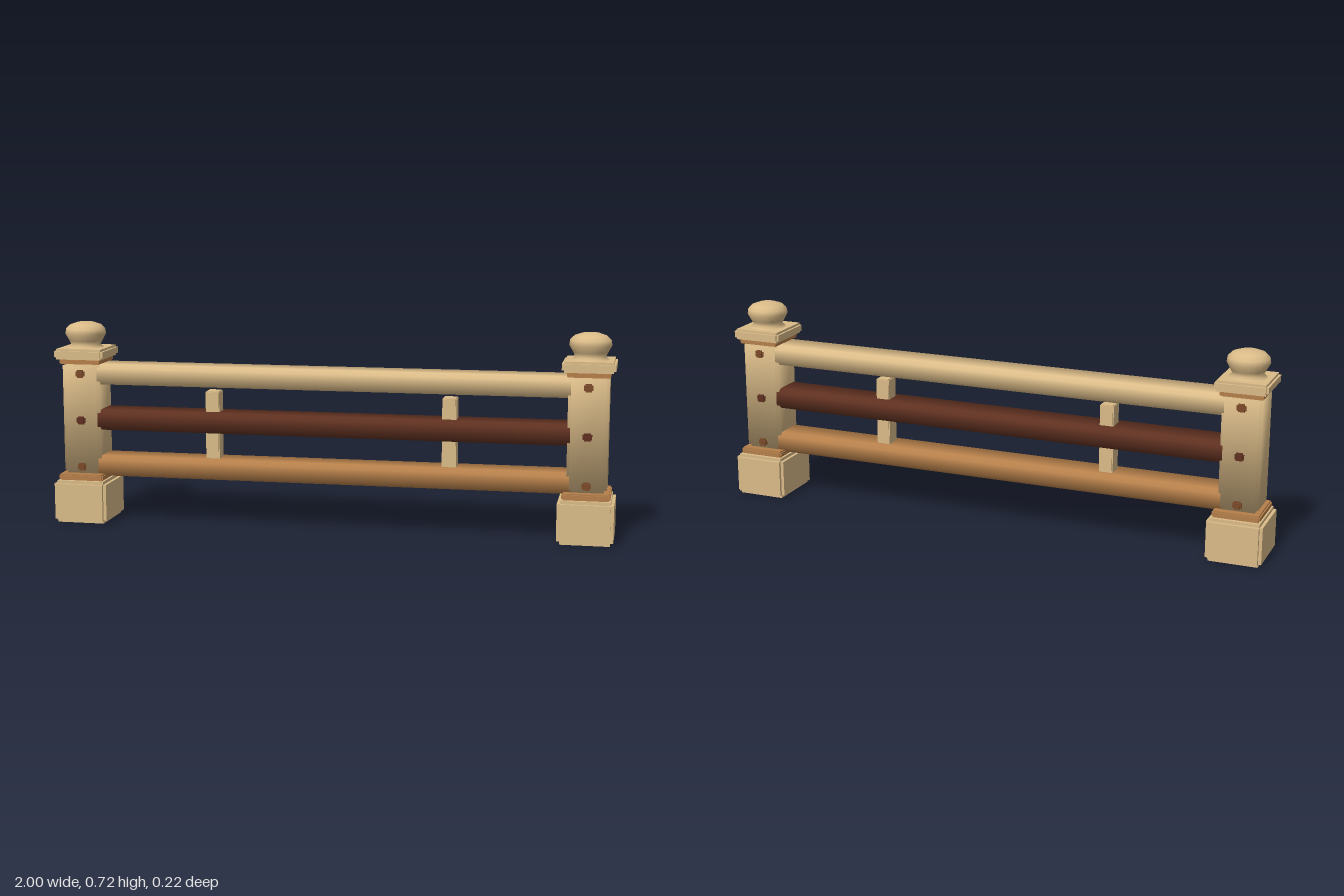
import * as THREE from 'three';
import { mergeGeometries } from 'three/addons/utils/BufferGeometryUtils.js';

const material = (name, color) => {
  const m = new THREE.MeshStandardMaterial({ color });
  m.name = name;
  return m;
};

// Replace normals with ones pointing out from the centre, for a soft worn look
function soften(geometry, wx, wy, wz) {
  const p = geometry.attributes.position, n = geometry.attributes.normal;
  const v = new THREE.Vector3();
  for (let i = 0; i < p.count; i++) {
    v.set(p.getX(i) * wx, p.getY(i) * wy, p.getZ(i) * wz).normalize();
    n.setXYZ(i, v.x, v.y, v.z);
  }
  return geometry;
}

// Block with rebated edges: each pair of faces stands out by b
function rebatedBlock(hx, hy, hz, b) {
  const box = (x, y, z) => new THREE.BoxGeometry(2 * x, 2 * y, 2 * z);
  return mergeGeometries([
    box(hx, hy - b, hz - b),
    box(hx - b, hy, hz - b),
    box(hx - b, hy - b, hz),
  ]);
}

// Long rail along x with chamfered edges and soft shading
function railGeometry(length, hy, hz, c) {
  const s = new THREE.Shape([
    [hz, -hy + c], [hz, hy - c], [hz - c, hy], [-hz + c, hy],
    [-hz, hy - c], [-hz, -hy + c], [-hz + c, -hy], [hz - c, -hy],
  ].map(([x, y]) => new THREE.Vector2(x, y)));
  const g = new THREE.ExtrudeGeometry(s, { depth: length, bevelEnabled: false });
  g.translate(0, 0, -length / 2).rotateY(Math.PI / 2);
  return soften(g, 0, 1 / hy, 1 / hz);
}

export function createModel() {
  const model = new THREE.Group();
  model.name = 'railing';
  const pale = material('pale wood', 0xdabb88);
  const copper = material('copper brown wood', 0xb57f4a);
  const dark = material('dark red brown wood', 0x5e3020);
  const brown = material('peg brown wood', 0x7c4a2a);

  const add = (parent, name, geometry, mat, x, y, z = 0) => {
    const mesh = new THREE.Mesh(geometry, mat);
    mesh.name = name;
    mesh.position.set(x, y, z);
    parent.add(mesh);
  };

  // Shared post parts
  const base = rebatedBlock(0.097, 0.0765, 0.11, 0.011);
  const lowerCollar = rebatedBlock(0.083, 0.0115, 0.091, 0.005);
  const shaft = soften(rebatedBlock(0.069, 0.201, 0.07, 0.01), 1 / 0.069, 1 / 0.201, 1 / 0.07);
  const upperCollar = rebatedBlock(0.074, 0.009, 0.08, 0.003);
  const cap = rebatedBlock(0.091, 0.019, 0.095, 0.008);
  const peg = rebatedBlock(0.016, 0.014, 0.079, 0.005);
  const finial = new THREE.LatheGeometry([
    [0.066, 0], [0.052, 0.01], [0.06, 0.026], [0.073, 0.05],
    [0.07, 0.068], [0.056, 0.082], [0.03, 0.091], [0, 0.093],
  ].map(([r, y]) => new THREE.Vector2(r, y)), 24);

  for (const [side, name] of [[1, 'leftPost'], [-1, 'rightPost']]) {
    const post = new THREE.Group();
    post.name = name;
    post.position.x = side * 0.903;
    add(post, 'base', base, pale, 0, 0.0765);
    add(post, 'lowerCollar', lowerCollar, copper, 0, 0.1645);
    add(post, 'shaft', shaft, pale, 0, 0.377);
    add(post, 'upperCollar', upperCollar, copper, 0, 0.584);
    add(post, 'cap', cap, pale, 0, 0.611);
    add(post, 'finial', finial, pale, 0, 0.629);
    // Pegs run through the post and show front and back
    add(post, 'topPeg', peg, brown, 0, 0.54);
    add(post, 'middlePeg', peg, dark, 0, 0.371);
    add(post, 'bottomPeg', peg, brown, 0, 0.201);
    model.add(post);
  }

  // Rails between the posts
  const rail = railGeometry(1.7, 0.037, 0.063, 0.014);
  add(model, 'topRail', rail, pale, 0, 0.538);
  add(model, 'middleRail', rail, dark, 0, 0.373);
  add(model, 'bottomRail', rail, copper, 0, 0.205);

  // Short uprights
  const upright = rebatedBlock(0.025, 0.14, 0.03, 0.003);
  for (const side of [1, -1]) {
    add(model, side > 0 ? 'leftUpright' : 'rightUpright', upright, pale, side * 0.425, 0.344);
  }
  return model;
}
